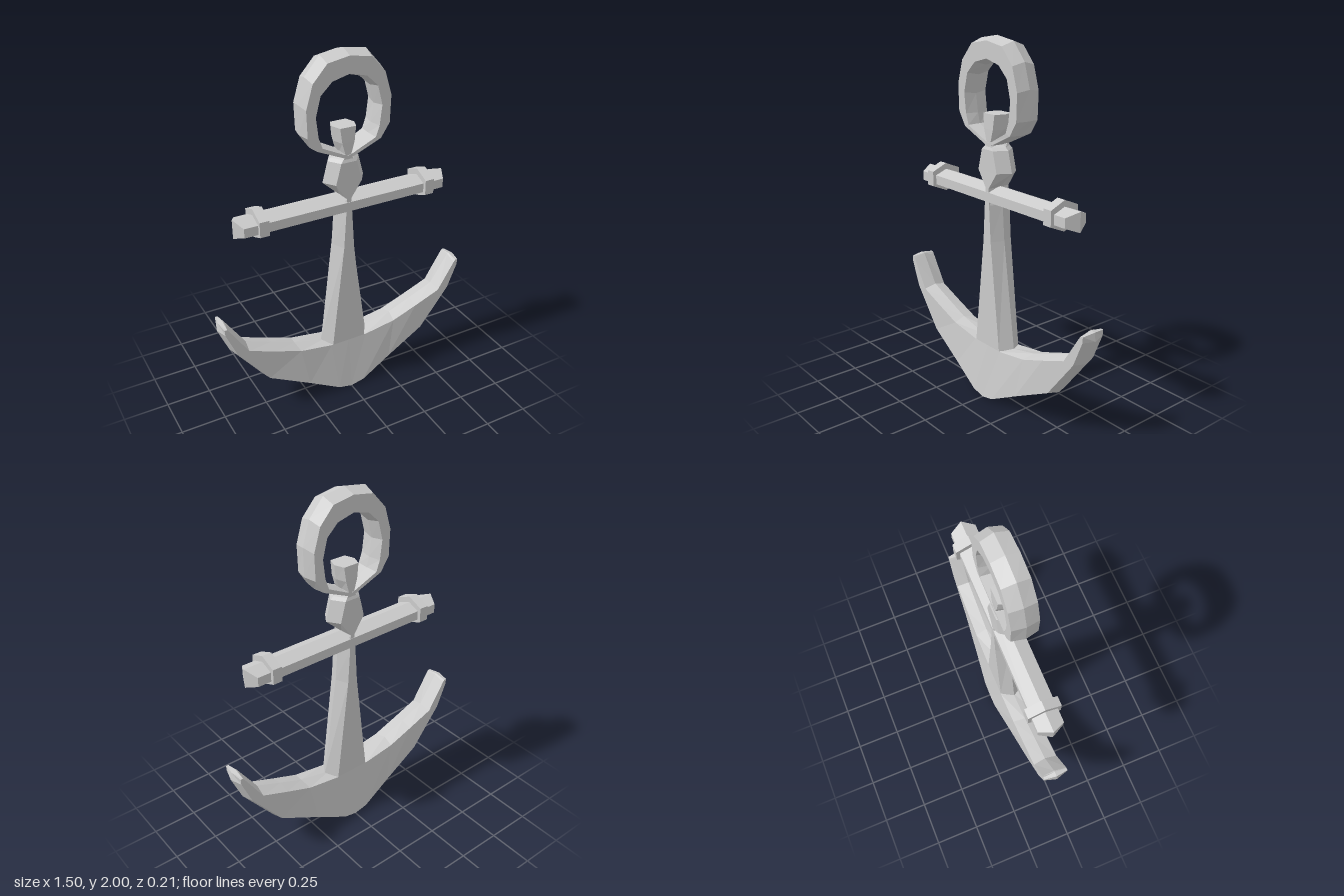
import * as THREE from 'three';

const material = new THREE.MeshStandardMaterial({ color: 0xcccccc, flatShading: true });

// Joins equal-length cross-sections into a faceted, capped solid
function loft(name, sections) {
  const n = sections[0].length;
  const pts = sections.flat();
  const index = [];
  for (let s = 0; s < sections.length - 1; s++) {
    for (let i = 0; i < n; i++) {
      const j = (i + 1) % n;
      const a = s * n + i, b = s * n + j, c = a + n, d = b + n;
      index.push(a, b, d, a, d, c);
    }
  }
  const last = (sections.length - 1) * n;
  for (let i = 1; i < n - 1; i++) {
    index.push(0, i + 1, i);
    index.push(last, last + i, last + i + 1);
  }
  // Turn the faces outward when the signed volume is negative
  let volume = 0;
  const v = pts.map((p) => new THREE.Vector3(...p));
  for (let i = 0; i < index.length; i += 3) {
    volume += v[index[i]].dot(v[index[i + 1]].clone().cross(v[index[i + 2]]));
  }
  if (volume < 0) index.reverse();
  const indexed = new THREE.BufferGeometry().setFromPoints(v);
  indexed.setIndex(index);
  const geometry = indexed.toNonIndexed();
  geometry.computeVertexNormals();
  const mesh = new THREE.Mesh(geometry, material);
  mesh.name = name;
  return mesh;
}

// Six-sided section: centre ridges a and b, flat face from fa to fb on front and back
const ridged = (a, fa, fb, b, da, db = da) => [
  [...a, 0], [...fa, da], [...fb, db], [...b, 0], [...fb, -db], [...fa, -da],
];
const mirrored = (section) => section.map(([x, y, z]) => [-x, y, z]);
// Adds the mirrored half; the first section lies on x = 0
const symmetric = (half) => [...half.slice(1).reverse().map(mirrored), ...half];

function arms() {
  return loft('arms', symmetric([
    ridged([0, 0.005], [0, 0.005], [0, 0.315], [0, 0.315], 0.107, 0.07),
    ridged([0.08, 0.022], [0.08, 0.022], [0.11, 0.315], [0.12, 0.32], 0.107, 0.07),
    ridged([0.27, 0.105], [0.26, 0.115], [0.3, 0.345], [0.31, 0.362], 0.09, 0.07),
    ridged([0.51, 0.22], [0.495, 0.232], [0.45, 0.4], [0.45, 0.417], 0.07),
    ridged([0.69, 0.455], [0.672, 0.462], [0.605, 0.46], [0.597, 0.477], 0.07),
    ridged([0.75, 0.6], [0.73, 0.605], [0.708, 0.625], [0.708, 0.645], 0.07),
    ridged([0.742, 0.645], [0.732, 0.638], [0.718, 0.638], [0.716, 0.65], 0.07),
  ]));
}

// Tapered shank with the knob and flared peg on top: y, face half width, ridge half width, depth
function shank() {
  const profile = [
    [0.25, 0.105, 0.15, 0.07], [0.32, 0.1, 0.145, 0.07], [0.93, 0.03, 0.06, 0.07],
    [1.13, 0.018, 0.046, 0.07], [1.22, 0.012, 0.02, 0.068], [1.31, 0.075, 0.12, 0.066],
    [1.425, 0.045, 0.09, 0.066], [1.44, 0.03, 0.07, 0.06], [1.46, 0.015, 0.025, 0.058],
    [1.53, 0.035, 0.055, 0.058], [1.61, 0.045, 0.065, 0.055],
  ];
  return loft('shank', profile.map(([y, f, r, d]) =>
    ridged([-r, y], [-f, y], [f, y], [r, y], d)));
}

// Ring at the top: outer and inner ridge points of the right half, top to bottom
function ring() {
  const half = [
    [[0, 2], [0, 1.87]], [[0.127, 1.98], [0.09, 1.845]], [[0.21, 1.885], [0.15, 1.79]],
    [[0.25, 1.755], [0.175, 1.69]], [[0.247, 1.6], [0.16, 1.59]],
    [[0.19, 1.52], [0.145, 1.535]], [[0.015, 1.44], [0.03, 1.475]], [[0, 1.435], [0, 1.465]],
  ];
  const mix = (p, q, t) => [p[0] + (q[0] - p[0]) * t, p[1] + (q[1] - p[1]) * t];
  return loft('ring', symmetric(half.map(([o, i]) =>
    ridged(o, mix(o, i, 0.18), mix(o, i, 0.86), i, o[1] < 1.5 ? 0.06 : 0.07))));
}

// Upright hexagon across the x axis; the flat sides may end short of the ridges
const hexagon = (xRidge, xSide, y, tall, flat, deep) => [
  [xRidge, y + tall, 0], [xSide, y + flat, deep], [xSide, y - flat, deep],
  [xRidge, y - tall, 0], [xSide, y - flat, -deep], [xSide, y + flat, -deep],
];

export function createModel() {
  const group = new THREE.Group();
  group.name = 'anchor';
  group.add(arms(), shank(), ring());

  // Crossbar with pointed ends
  group.add(loft('crossbar', [-1, 1].map((s) =>
    hexagon(0.622 * s, 0.588 * s, 1.173, 0.053, 0.026, 0.07))));

  // Collars near the ends of the crossbar
  for (const [name, s] of [['rightCollar', -1], ['leftCollar', 1]]) {
    group.add(loft(name, [0.46, 0.513].map((x) =>
      hexagon(x * s, x * s, 1.18, 0.08, 0.042, 0.09))));
  }
  return group;
}
